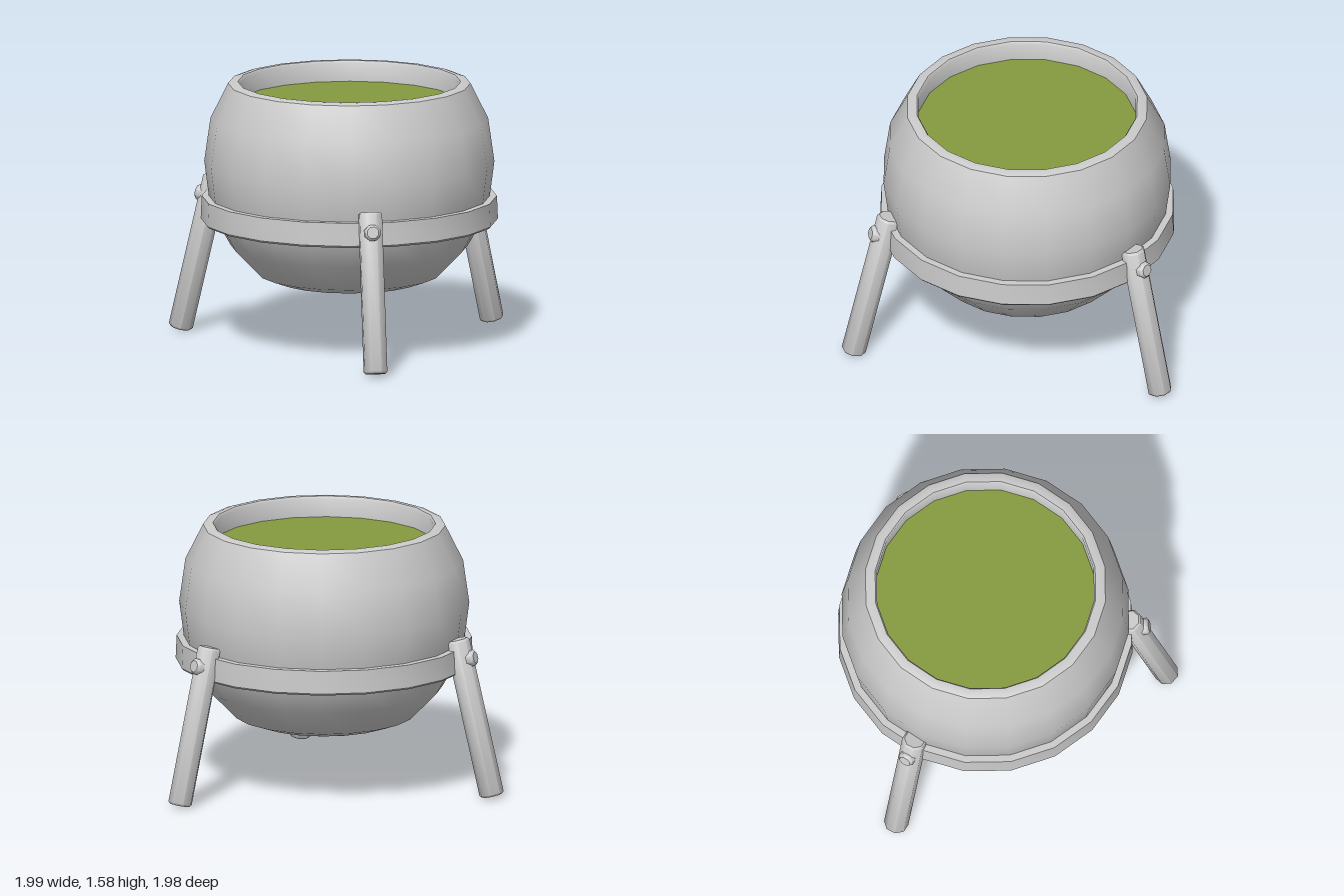
import * as THREE from 'three';
import { toCreasedNormals } from 'three/addons/utils/BufferGeometryUtils.js';

const grey = new THREE.MeshStandardMaterial({ color: 0xcccccc });
const green = new THREE.MeshStandardMaterial({ color: 0x859a3e });
const rad = THREE.MathUtils.degToRad;

const SIDES = 20;
const PHASE = rad(8.2); // turn of the pot's facets

// Turned part from [radius, height] pairs, listed bottom to top on the outside
function turned(name, profile, sides, phase, crease, material = grey) {
  const points = profile.map(([r, y]) => new THREE.Vector2(r, y));
  const geometry = toCreasedNormals(new THREE.LatheGeometry(points, sides, phase), crease);
  const mesh = new THREE.Mesh(geometry, material);
  mesh.name = name;
  return mesh;
}

// Round bar with chamfered ends, standing on its origin
function bar(name, radius, length, chamfer) {
  return turned(name, [
    [0, 0], [radius - chamfer, 0], [radius, chamfer],
    [radius, length - chamfer], [radius - chamfer, length], [0, length],
  ], 8, Math.PI / 8, 0.81);
}

// Leg leaning outwards along local +z, with a bolt through its top
function createLeg() {
  const leg = new THREE.Group();
  const foot = new THREE.Vector3(0, 0.016, 1.08);
  const top = new THREE.Vector3(0, 0.95, 0.855);
  const length = foot.distanceTo(top);
  leg.position.copy(foot);
  leg.rotation.x = -Math.atan2(foot.z - top.z, top.y - foot.y);

  leg.add(bar('legPost', 0.073, length, 0.012));

  const bolt = bar('bolt', 0.05, 0.2, 0.014);
  bolt.rotation.x = Math.PI / 2;
  bolt.position.set(0, length - 0.125, -0.107);
  leg.add(bolt);
  return leg;
}

export function createModel() {
  const model = new THREE.Group();
  model.name = 'cauldronOnStand';

  // The pot sits off the origin because the three legs spread unevenly about it
  const body = new THREE.Group();
  body.name = 'cauldron';
  body.position.set(0.12, 0, -0.11);
  model.add(body);

  // Pot wall, rolled rim and inner lip
  body.add(turned('pot', [
    [0, 0.38], [0.43, 0.38], [0.54, 0.42], [0.705, 0.59], [0.79, 0.74],
    [0.835, 0.89], [0.862, 1.1], [0.825, 1.36], [0.72, 1.57], [0.69, 1.58],
    [0.662, 1.58], [0.652, 1.565], [0.655, 1.42],
  ], SIDES, PHASE, 0.7));

  // Liquid surface
  body.add(turned('liquid', [[0.66, 1.455], [0, 1.455]], SIDES, PHASE, 0.7, green));

  // Support band around the belly
  body.add(turned('supportRing', [
    [0.77, 0.74], [0.872, 0.74], [0.883, 0.752], [0.877, 0.89], [0.77, 0.89],
  ], SIDES, PHASE, 0.6));

  // Three legs spaced evenly around the band
  for (let i = 0; i < 3; i++) {
    const mount = new THREE.Group();
    mount.name = ['frontLeg', 'backLeftLeg', 'backRightLeg'][i];
    mount.rotation.y = rad(16.8 + i * 120);
    mount.add(createLeg());
    body.add(mount);
  }
  return model;
}
